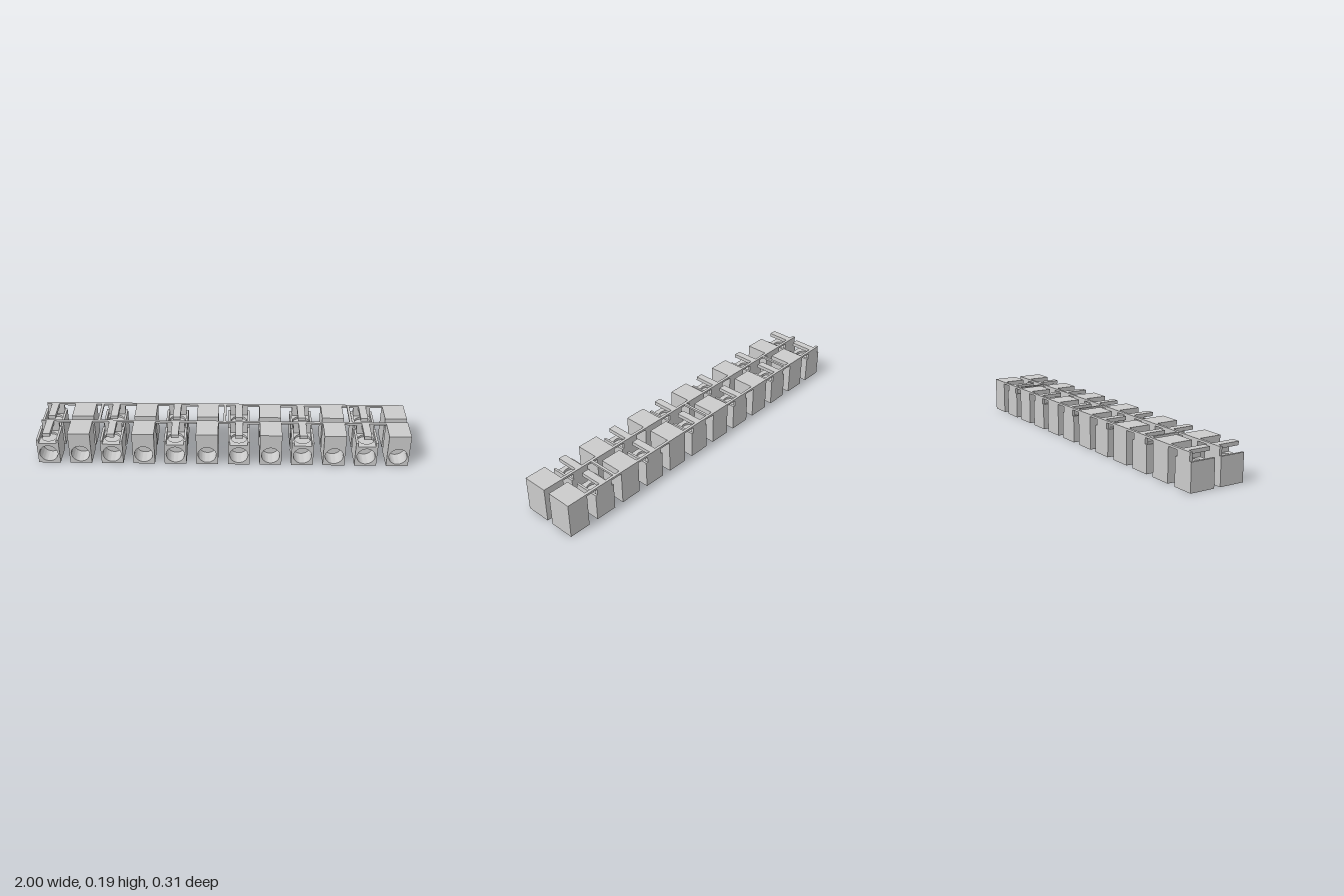
import * as THREE from 'three';
import { toCreasedNormals } from 'three/addons/utils/BufferGeometryUtils.js';

const W = 0.118, D = 0.137, H = 0.191;   // tall block size
const PITCH = 0.171, COUNT = 12;
const SEAT = 0.125, RIM_TOP = 0.147, RIM = 0.012;
const BORE_R = 0.049, BORE_Y = 0.061, BORE_DEPTH = 0.09;

const material = new THREE.MeshStandardMaterial({ color: 0xcccccc });

function add(parent, name, geometry, x = 0, y = 0, z = 0) {
  const mesh = new THREE.Mesh(geometry, material);
  mesh.name = name;
  mesh.position.set(x, y, z);
  parent.add(mesh);
  return mesh;
}

// box given by its ranges
function addBox(parent, name, x0, x1, y0, y1, z0, z1) {
  return add(parent, name, new THREE.BoxGeometry(x1 - x0, y1 - y0, z1 - z0),
    (x0 + x1) / 2, (y0 + y1) / 2, (z0 + z1) / 2);
}

// rectangle with a round hole, extruded along z
function boredPlate(w, y0, y1, cy, r, depth) {
  const shape = new THREE.Shape();
  shape.moveTo(-w / 2, y0).lineTo(w / 2, y0).lineTo(w / 2, y1).lineTo(-w / 2, y1).closePath();
  shape.holes.push(new THREE.Path().absarc(0, cy, r, 0, Math.PI * 2, true));
  return toCreasedNormals(
    new THREE.ExtrudeGeometry(shape, { depth, bevelEnabled: false, curveSegments: 32 }), 0.6);
}

// solid rear half and bored front half
function addBody(block, height) {
  addBox(block, 'blockRear', -W / 2, W / 2, 0, height, 0, D - BORE_DEPTH);
  add(block, 'boredFront', boredPlate(W, 0, height, BORE_Y, BORE_R, BORE_DEPTH), 0, 0, D - BORE_DEPTH);
}

function tallBlock() {
  const block = new THREE.Group();
  block.name = 'tallBlock';
  addBody(block, H);
  return block;
}

function lowBlock() {
  const block = new THREE.Group();
  block.name = 'lowBlock';
  const body = 0.112, inner = W / 2 - RIM;
  addBody(block, body);
  // channel floor with a round screw recess
  const floor = boredPlate(W, 0, D, D / 2, 0.043, SEAT - body);
  floor.rotateX(-Math.PI / 2);
  add(block, 'screwSeat', floor, 0, body, D);
  // channel sides
  for (const s of [-1, 1]) {
    const a = s * inner, b = s * W / 2;
    addBox(block, 'channelSide', Math.min(a, b), Math.max(a, b), SEAT, RIM_TOP, 0, D);
  }
  // rear plate and the arm reaching forward over the channel
  addBox(block, 'rearPlate', -0.047, 0.047, SEAT, H, 0, 0.015);
  addBox(block, 'overheadArm', -0.02, 0.02, 0.171, H, 0.015, D);
  return block;
}

function createRow() {
  const row = new THREE.Group();
  row.name = 'terminalRow';
  for (let i = 0; i < COUNT; i++) {
    const block = i % 2 ? tallBlock() : lowBlock();
    block.position.x = (i - (COUNT - 1) / 2) * PITCH;
    row.add(block);
  }
  // thin rail joining the blocks along the back
  addBox(row, 'rail', -0.988, 0.99, 0.18, H, 0, 0.015);
  return row;
}

export function createModel() {
  const model = new THREE.Group();
  model.name = 'terminalStrip';
  for (const z of [0.0175, -0.1545]) {
    const row = createRow();
    row.position.z = z;
    model.add(row);
  }
  // narrow links between the two rails
  for (const x of [-0.675, 0.008, 0.692]) {
    addBox(model, 'rowLink', x - 0.007, x + 0.007, 0.18, H, -0.14, 0.0175);
  }
  return model;
}
